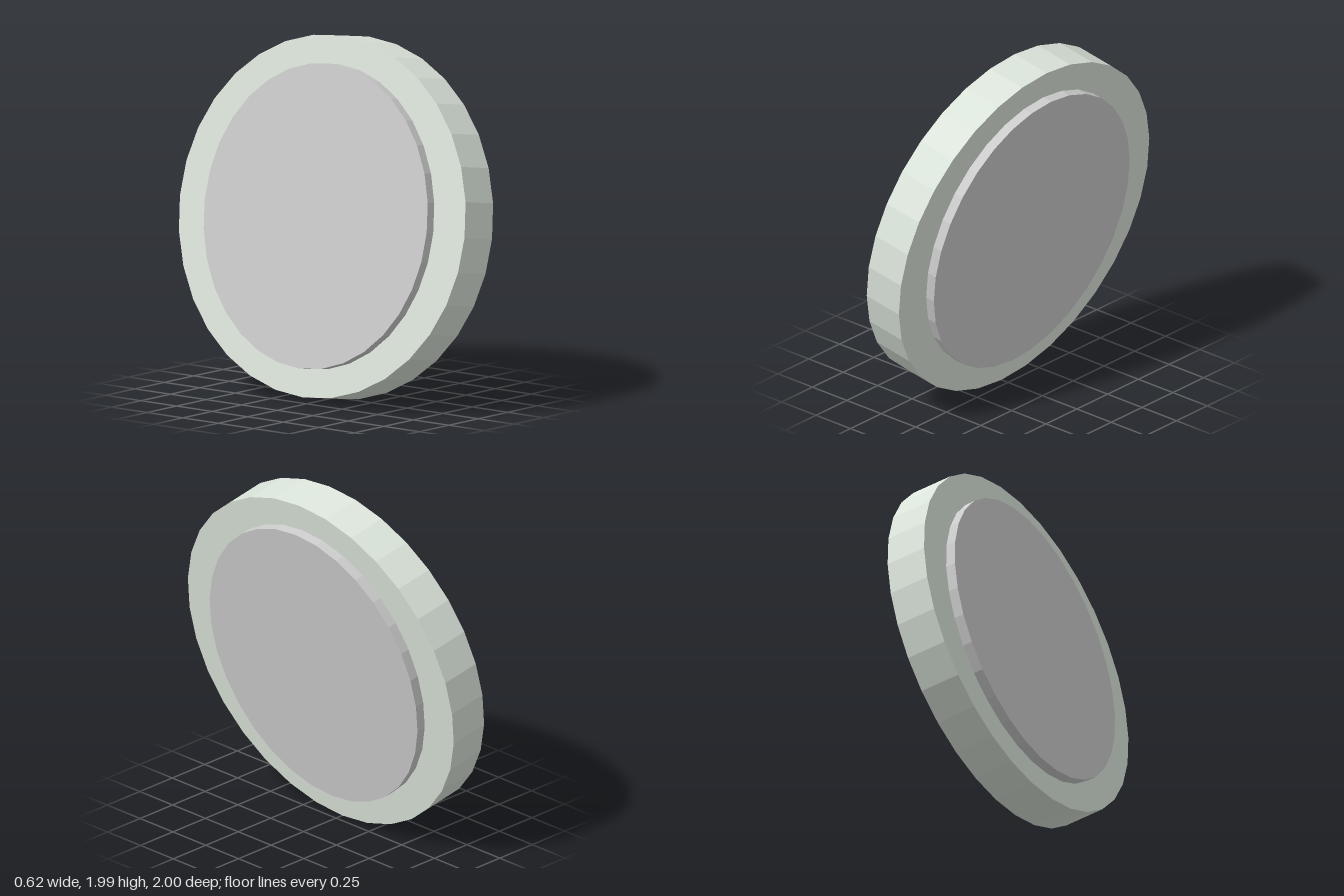
import * as THREE from 'three';

const SIDES = 32;
const TILT = THREE.MathUtils.degToRad(9.6);

// Short faceted cylinder, slightly elliptical, centred on the shared axle
function disc(name, radiusUp, radiusAcross, thickness, color) {
  const geometry = new THREE.CylinderGeometry(1, 1, thickness, SIDES);
  geometry.scale(radiusUp, 1, radiusAcross);
  const material = new THREE.MeshStandardMaterial({ color, flatShading: true });
  const mesh = new THREE.Mesh(geometry, material);
  mesh.name = name;
  return mesh;
}

export function createModel() {
  const model = new THREE.Group();
  model.name = 'tiltedWheel';

  // Wide outer rim, and a thicker core that stands proud on both faces
  model.add(
    disc('outerRim', 0.987, 1, 0.237, 0xdbe4db),
    disc('raisedCore', 0.831, 0.78, 0.35, 0xcccccc),
  );

  // Axle lies along x, leaning down towards +x
  model.rotation.z = -Math.PI / 2 - TILT;
  model.position.y = 0.993;

  const root = new THREE.Group();
  root.add(model);
  return root;
}
